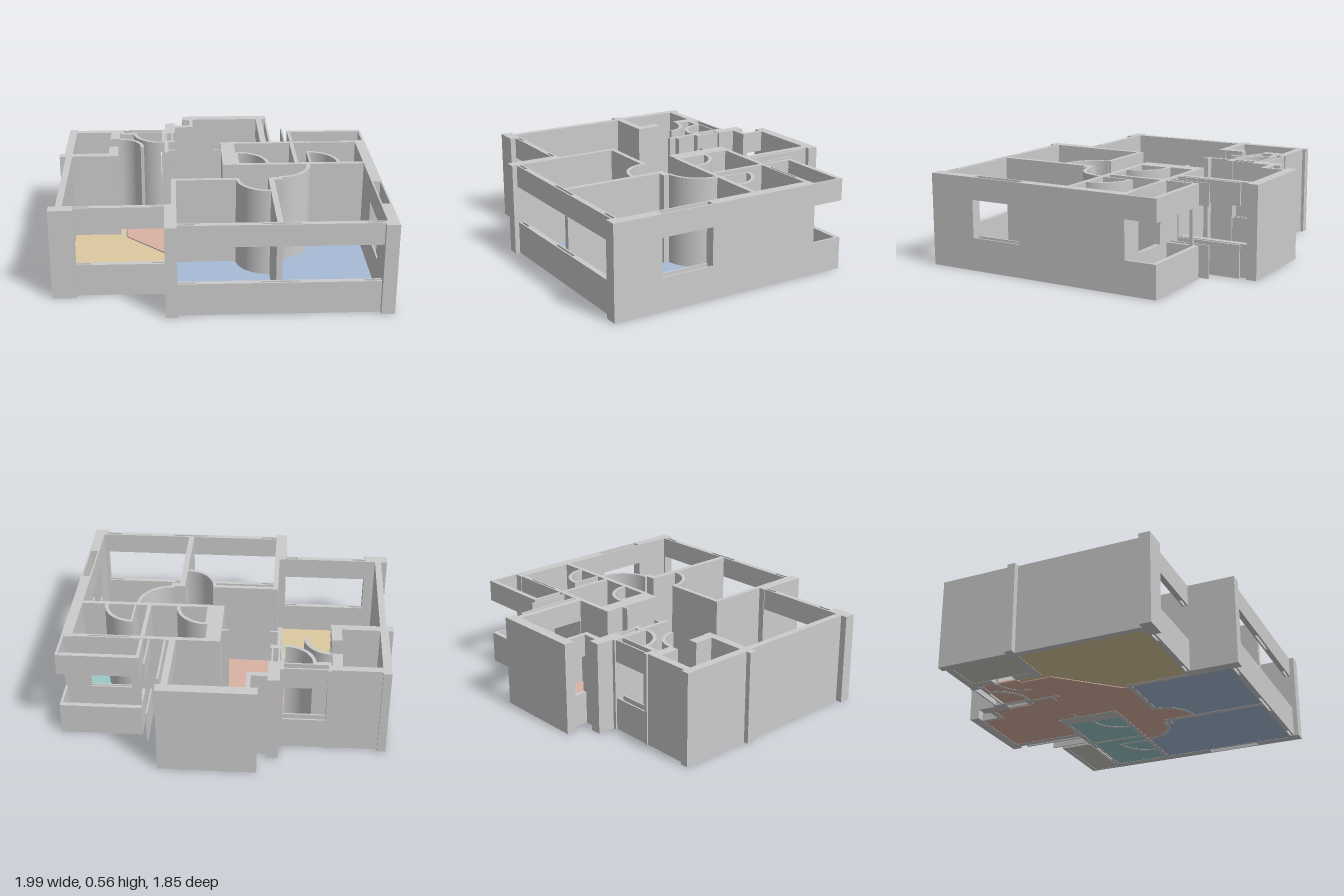
import * as THREE from 'three';

const H = 0.565, SILL = 0.2, HEAD = 0.43;
const grey = new THREE.MeshStandardMaterial({ color: 0xcccccc, side: THREE.DoubleSide });

export function createModel() {
  const model = new THREE.Group();
  model.name = 'apartment';

  const group = (name) => {
    const g = new THREE.Group();
    g.name = name;
    model.add(g);
    return g;
  };
  // Upright block from plan limits and heights
  const block = (parent, name, [x0, x1, z0, z1], y0 = 0, y1 = H) => {
    const m = new THREE.Mesh(new THREE.BoxGeometry(x1 - x0, y1 - y0, z1 - z0), grey);
    m.position.set((x0 + x1) / 2, (y0 + y1) / 2, (z0 + z1) / 2);
    m.name = name;
    parent.add(m);
  };
  // Wall with a window: parapet below, lintel above
  const windowWall = (parent, r) => {
    block(parent, 'parapet', r, 0, SILL);
    block(parent, 'lintel', r, HEAD, H);
  };
  // Window bay whose parapet and lintel are two thin skins around a cavity
  const hollowWindow = (parent, [x0, x1, z0, z1], t = 0.01) => {
    if (x1 - x0 > z1 - z0) {
      windowWall(parent, [x0, x1, z0, z0 + t]);
      windowWall(parent, [x0, x1, z1 - t, z1]);
    } else {
      windowWall(parent, [x0, x0 + t, z0, z1]);
      windowWall(parent, [x1 - t, x1, z0, z1]);
    }
  };
  // Extrude a plan shape (drawn in x, -z) upwards
  const extrudePlan = (name, shape, y0, height, material) => {
    const geo = new THREE.ExtrudeGeometry(shape, { depth: height, bevelEnabled: false, curveSegments: 16 });
    geo.rotateX(-Math.PI / 2);
    geo.translate(0, y0, 0);
    const m = new THREE.Mesh(geo, material);
    m.name = name;
    model.add(m);
  };

  // Outer walls
  const outer = group('outerWalls');
  [
    [-1, -0.855, 0.59, 0.66],       // front left pier
    [-0.96, -0.92, -0.19, 0.6],     // living room side
    [-1, -0.625, -0.24, -0.19],     // living room back
    [-0.97, -0.92, -0.69, -0.24],   // small room side
    [-0.92, -0.625, -0.67, -0.625], // small room back
    [-0.69, -0.63, -0.625, -0.5],   // small room inner side, both sides of the doorway
    [-0.69, -0.63, -0.36, -0.24],
    [-0.33, -0.26, -0.79, -0.6],    // column beside the hall
    [-0.26, -0.14, -0.75, -0.715],  // step of the back room
    [-0.21, 0.37, -0.93, -0.865],   // back room end wall
    [0.925, 0.99, -0.42, 0.29],     // right side
    [0.925, 0.99, 0.62, 0.855],
    [0.91, 0.99, 0.855, 0.92],      // front right pier
    [-0.33, -0.26, 0.585, 0.92],    // front middle pier
  ].forEach((r) => block(outer, 'wall', r));

  // Window walls
  const windows = group('windowWalls');
  [
    [-0.77, -0.41, 0.59, 0.625],    // living room front
    [-0.16, 0.22, 0.855, 0.89],     // bedroom fronts
    [0.44, 0.81, 0.855, 0.89],
    [-0.165, -0.14, -0.865, -0.75], // back room corner
    [0.3, 0.34, -0.865, -0.42],     // back room right
    [0.357, 0.37, -0.82, -0.42],
    [0.455, 0.465, -0.67, -0.42],
    [0.495, 0.99, -0.62, -0.59],    // balcony back and ends
    [0.975, 0.99, -0.59, -0.42],
    [0.495, 0.515, -0.59, -0.42],
  ].forEach((r) => windowWall(windows, r));
  [
    [-0.855, -0.77, 0.59, 0.625], [-0.41, -0.33, 0.59, 0.625],
    [-0.26, -0.16, 0.855, 0.89], [0.22, 0.44, 0.855, 0.89], [0.81, 0.91, 0.855, 0.89],
    [0.925, 0.99, 0.29, 0.62],
    [-0.62, -0.33, -0.67, -0.61],
    [-0.325, -0.275, -0.6, -0.465],
    [0.58, 0.83, -0.415, -0.385],
  ].forEach((r) => hollowWindow(windows, r));
  block(windows, 'balconyPost', [0.495, 0.515, -0.59, -0.57], SILL, HEAD);

  // Inner walls
  const inner = group('innerWalls');
  [
    [-0.29, -0.26, 0.2, 0.585],     // living room to bedroom
    [-0.29, 0.12, 0.2, 0.23],       // hall to bedroom
    [0.305, 0.34, 0.2, 0.855],      // between bedrooms
    [0.34, 0.39, 0.2, 0.24],
    [0.035, 0.125, -0.415, -0.015], // bathroom sides
    [0.49, 0.515, -0.385, -0.04],
    [0.125, 0.58, -0.415, -0.385],  // bathroom backs
    [0.83, 0.925, -0.415, -0.385],
    [0.125, 0.925, -0.04, -0.01],   // bathroom fronts
    [-0.625, -0.605, -0.68, -0.59], // entrance frames and stubs
    [-0.605, -0.54, -0.61, -0.59],
    [-0.35, -0.33, -0.68, -0.43],
    [-0.33, -0.265, -0.465, -0.43],
    [-0.33, -0.305, -0.43, -0.24],
    [-0.305, -0.26, -0.295, -0.28],
    [-0.01, 0.035, -0.295, -0.28],
    [0.3, 0.37, -0.42, -0.395],
    [0.585, 0.597, -0.23, -0.04],   // door leaves
    [0.125, 0.14, -0.23, -0.04],
  ].forEach((r) => block(inner, 'wall', r));

  // Door swings: quarter-round walls [x, z, radius, start angle in plan, floored]
  const sectorMat = new THREE.MeshStandardMaterial({ color: 0xcdc8c0, side: THREE.DoubleSide });
  const q = Math.PI / 2;
  [
    [0.305, 0.215, 0.2, 2 * q, false],
    [0.37, -0.01, 0.215, 3 * q, false],
    [0.135, -0.04, 0.195, 0, true],
    [0.585, -0.04, 0.195, 0, true],
    [-0.625, -0.35, 0.16, 0, true],
    [-0.355, -0.61, 0.185, 2 * q, true],
  ].forEach(([x, z, r, a, floored]) => {
    const ring = new THREE.Shape();
    ring.absarc(x, -z, r, a, a + q, false);
    ring.absarc(x, -z, r - 0.022, a + q, a, true);
    extrudePlan('doorSwing', ring, 0, H, grey);
    if (floored) {
      const sector = new THREE.Shape();
      sector.moveTo(x, -z);
      sector.absarc(x, -z, r - 0.02, a, a + q, false);
      extrudePlan('doorSwingFloor', sector, 0.008, 0.006, sectorMat);
    }
  });

  // Floors: plan outlines as x, z pairs
  const floor = (name, color, pts) => {
    const shape = new THREE.Shape(pts.map(([x, z]) => new THREE.Vector2(x, -z)));
    const mat = new THREE.MeshStandardMaterial({ color, side: THREE.DoubleSide });
    extrudePlan(name, shape, 0.002, 0.01, mat);
  };
  const rect = (x0, x1, z0, z1) => [[x0, z0], [x1, z0], [x1, z1], [x0, z1]];
  // Points along a quarter circle
  const arc = (x, z, r, a0, a1) => Array.from({ length: 9 }, (_, i) => {
    const a = a0 + (a1 - a0) * i / 8;
    return [x + r * Math.cos(a), z + r * Math.sin(a)];
  });
  floor('livingRoomFloor', 0xdbc99f, [
    [-0.925, -0.19], [-0.625, -0.19], [-0.625, -0.35], [-0.592, -0.35], [-0.592, -0.15],
    [-0.27, 0.172], [-0.27, 0.2], [-0.29, 0.2], [-0.29, 0.59], [-0.925, 0.59],
  ]);
  floor('hallFloor', 0xd9b3a3, [
    [-0.582, -0.35], [-0.625, -0.36], [-0.625, -0.6], [-0.34, -0.6], [-0.34, -0.45], [-0.26, -0.45],
    [-0.26, -0.72], [-0.14, -0.72], [-0.14, -0.865], [0.305, -0.865], [0.305, -0.415], [0.035, -0.415],
    [0.035, -0.015], ...arc(0.37, -0.01, 0.2, 0, q), [0.305, 0.215],
    ...arc(0.305, 0.215, 0.19, q, 2 * q), [-0.26, 0.2], [-0.26, 0.168], [-0.582, -0.154],
  ]);
  floor('bedroomFloor', 0xa8bbd6, [
    [-0.265, 0.23], [0.115, 0.23], ...arc(0.305, 0.215, 0.2, 2 * q, q), [0.31, 0.86], [-0.265, 0.86],
  ]);
  floor('mainBedroomFloor', 0xa8bbd6, [
    [0.335, 0.24], [0.37, 0.205], ...arc(0.37, -0.01, 0.21, q, 0), [0.585, -0.03],
    [0.93, -0.03], [0.93, 0.86], [0.335, 0.86],
  ]);
  floor('bathroomFloor', 0x9cc9c9, rect(0.125, 0.49, -0.385, -0.04));
  floor('secondBathroomFloor', 0x9cc9c9, rect(0.515, 0.925, -0.385, -0.04));
  floor('smallRoomFloor', 0xcdc8c0, rect(-0.92, -0.69, -0.625, -0.24));
  floor('balconyFloor', 0xcdc8c0, rect(0.515, 0.975, -0.59, -0.42));

  return model;
}
